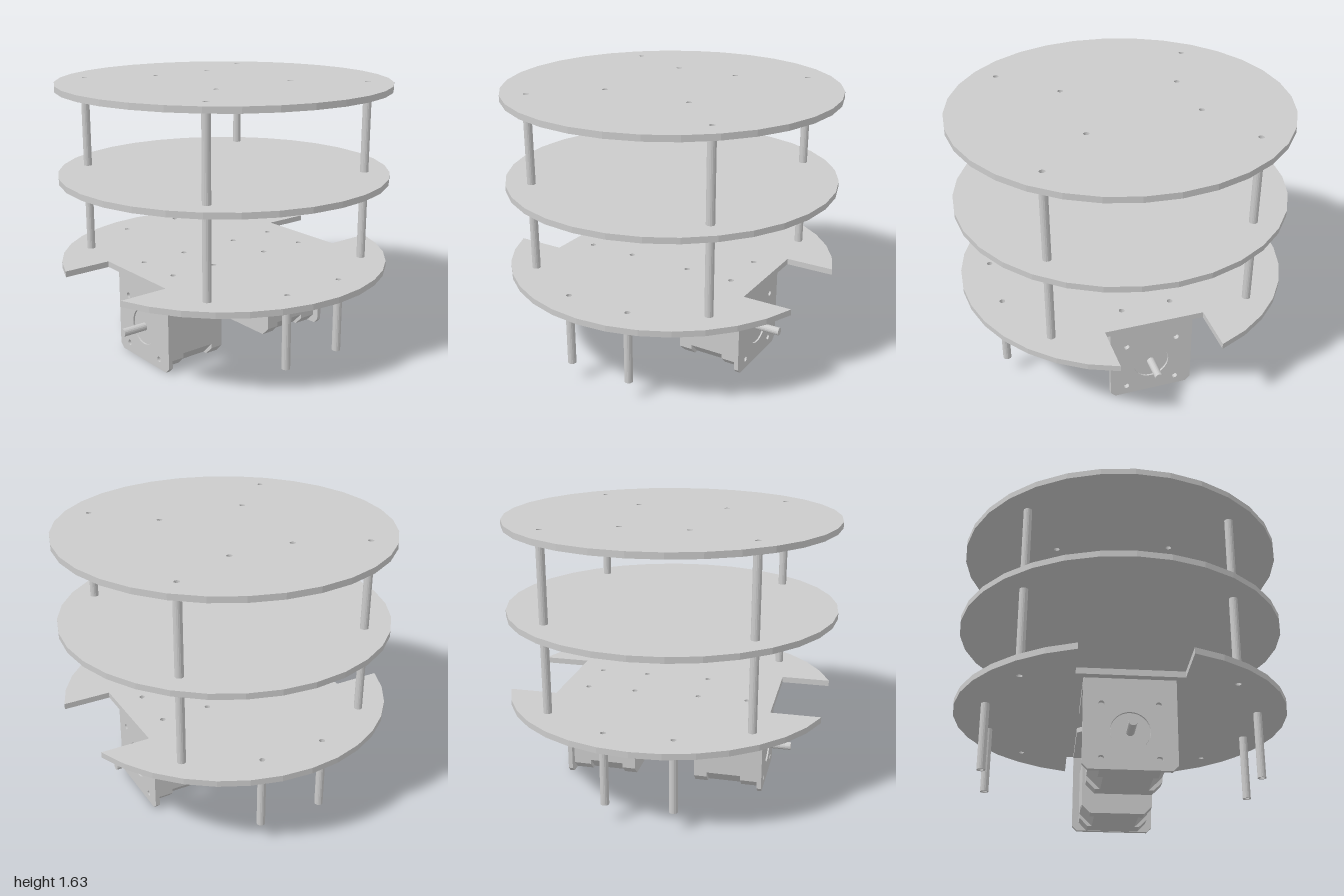
import * as THREE from 'three';

const material = new THREE.MeshStandardMaterial({ color: 0xcccccc, flatShading: true });

function mesh(name, geometry) {
  const m = new THREE.Mesh(geometry, material);
  m.name = name;
  return m;
}

function polygon(points) {
  return new THREE.Shape(points.map(([x, y]) => new THREE.Vector2(x, y)));
}

function addHole(shape, x, y, r) {
  shape.holes.push(new THREE.Path().absarc(x, y, r, 0, Math.PI * 2, true));
}

// Extrude a plan shape (x, -z) upward from y
function extrudeUp(shape, y, height, curveSegments = 8) {
  return new THREE.ExtrudeGeometry(shape, { depth: height, bevelEnabled: false, curveSegments })
    .rotateX(-Math.PI / 2).translate(0, y, 0);
}

// Extrude a side profile (-z, y) outward along +x
function extrudeOut(shape, x, depth, curveSegments = 8) {
  return new THREE.ExtrudeGeometry(shape, { depth, bevelEnabled: false, curveSegments })
    .rotateY(Math.PI / 2).translate(x, 0, 0);
}

const HOLE = 0.017;
const corners = (x, z) => [[x, z], [-x, z], [x, -z], [-x, -z]];
const POSTS = corners(0.6, 0.6);
const LEGS = corners(0.2, 0.8);

function disc(holes) {
  const s = new THREE.Shape().absarc(0, 0, 1, 0, Math.PI * 2, false);
  holes.forEach(([x, z]) => addHole(s, x, -z, HOLE));
  return s;
}

// Round plate with a rectangular wheel notch on each side
function notchedDisc(holes) {
  const a = Math.asin(0.3), s = new THREE.Shape();
  s.absarc(0, 0, 1, a, Math.PI - a, false);
  s.lineTo(-0.66, 0.3);
  s.lineTo(-0.66, -0.3);
  s.absarc(0, 0, 1, Math.PI + a, Math.PI * 2 - a, false);
  s.lineTo(0.66, -0.3);
  s.lineTo(0.66, 0.3);
  s.closePath();
  holes.forEach(([x, z]) => addHole(s, x, -z, HOLE));
  return s;
}

// Hollow standoff
function tube(name, x, z, y0, y1) {
  const s = new THREE.Shape().absarc(x, -z, 0.025, 0, Math.PI * 2, false);
  addHole(s, x, -z, HOLE);
  return mesh(name, extrudeUp(s, y0, y1 - y0));
}

// Square section with chamfered corners, centred on the motor axis
function motorSection(chamfer) {
  const h = 0.213, k = h - chamfer, c = 0.215;
  return polygon([[h, c - k], [h, c + k], [k, c + h], [-k, c + h],
    [-h, c + k], [-h, c - k], [-k, c - h], [k, c - h]]);
}

function motorUnit(name) {
  const g = new THREE.Group();
  g.name = name;

  // Motor: two end caps around a more deeply chamfered core
  g.add(mesh('motorRearCap', extrudeOut(motorSection(0.05), 0.19, 0.08)));
  g.add(mesh('motorCore', extrudeOut(motorSection(0.078), 0.27, 0.21)));
  g.add(mesh('motorFrontCap', extrudeOut(motorSection(0.05), 0.48, 0.108)));
  const boss = new THREE.CylinderGeometry(0.108, 0.108, 0.02, 32);
  g.add(mesh('motorBoss', boss.rotateZ(Math.PI / 2).translate(0.596, 0.215, 0)));
  const shaft = new THREE.CylinderGeometry(0.024, 0.024, 0.17, 16);
  g.add(mesh('motorShaft', shaft.rotateZ(Math.PI / 2).translate(0.675, 0.215, 0)));

  // Bracket face with boss opening and screw holes
  const face = polygon([[-0.225, 0], [0.225, 0], [0.255, 0.03],
    [0.255, 0.52], [-0.255, 0.52], [-0.255, 0.03]]);
  addHole(face, 0, 0.215, 0.11);
  for (const z of [-0.155, 0.155]) {
    for (const y of [0.06, 0.37]) addHole(face, z, y, HOLE);
  }
  g.add(mesh('bracketFace', extrudeOut(face, 0.588, 0.027, 16)));

  // Bracket flange with two mounting slots
  const flange = polygon([[0.588, -0.255], [0.588, 0.255], [0.135, 0.255],
    [0.105, 0.225], [0.105, -0.225], [0.135, -0.255]]);
  for (const z of [-0.15, 0.15]) {
    const slot = new THREE.Path();
    slot.absarc(0.5, z, HOLE, -Math.PI / 2, Math.PI / 2, false);
    slot.absarc(0.2, z, HOLE, Math.PI / 2, Math.PI * 1.5, false);
    slot.closePath();
    flange.holes.push(slot);
  }
  g.add(mesh('bracketFlange', extrudeUp(flange, 0.49, 0.03)));
  return g;
}

export function createModel() {
  const model = new THREE.Group();
  model.name = 'roundRobotChassis';

  // Three decks
  const topHoles = [[-0.2, -0.42], [0.2, -0.42], [-0.28, 0.28], [0.28, 0.28]];
  const baseHoles = [...LEGS, ...corners(0.2, 0.15), ...corners(0.5, 0.15)];
  model.add(mesh('topDeck', extrudeUp(disc([...POSTS, ...topHoles]), 1.598, 0.036, 16)));
  model.add(mesh('middleDeck', extrudeUp(disc(POSTS), 1.059, 0.036, 16)));
  model.add(mesh('bottomDeck', extrudeUp(notchedDisc([...POSTS, ...baseHoles]), 0.52, 0.036, 7)));

  // Standoffs between decks and legs below
  for (const [x, z] of POSTS) {
    model.add(tube('lowerPost', x, z, 0.556, 1.059));
    model.add(tube('upperPost', x, z, 1.095, 1.598));
  }
  for (const [x, z] of LEGS) model.add(tube('leg', x, z, 0.118, 0.52));

  // Mirrored motor and bracket units
  const left = motorUnit('leftMotorUnit');
  const right = motorUnit('rightMotorUnit');
  right.rotation.y = Math.PI;
  model.add(left, right);
  return model;
}
